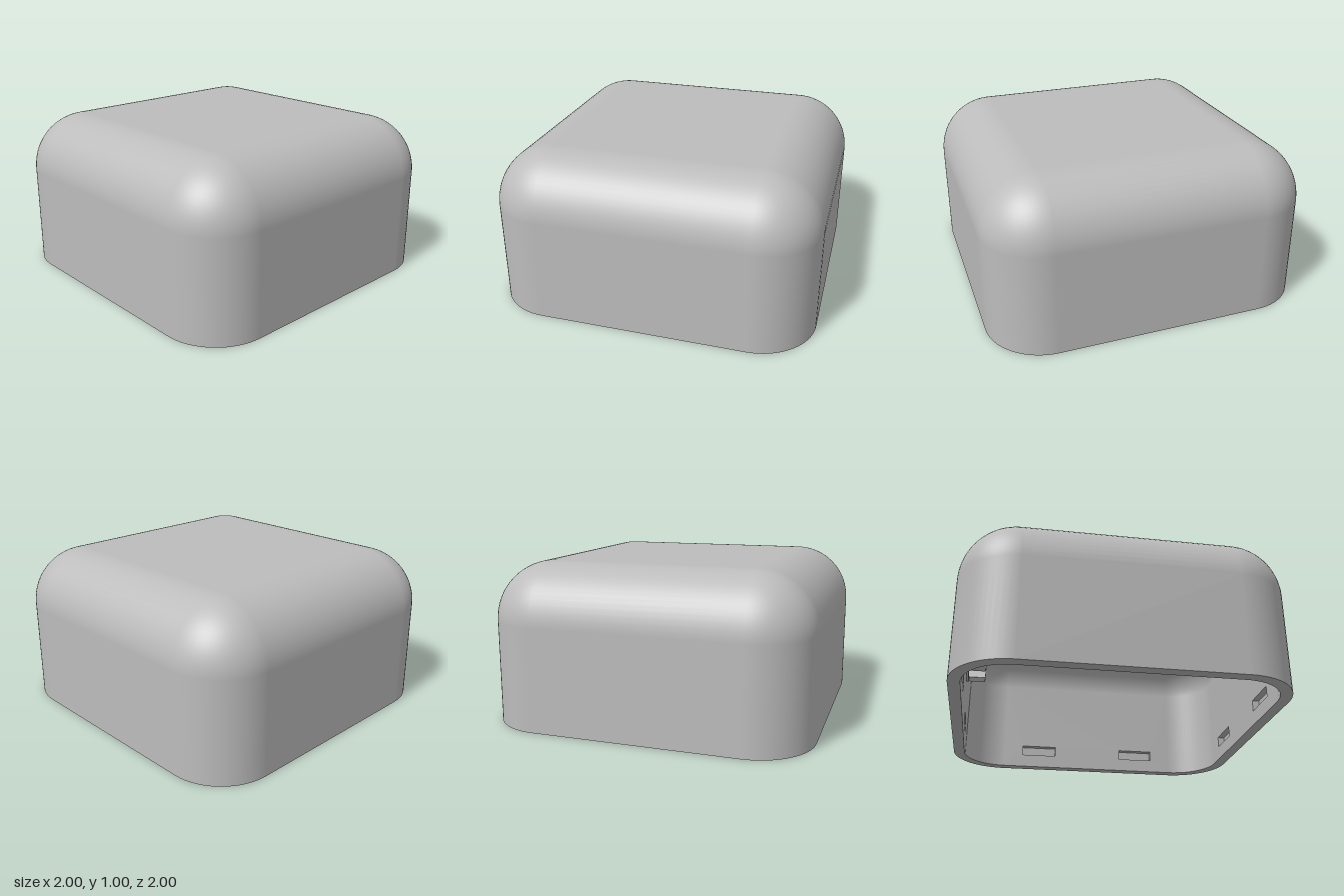
import * as THREE from 'three';

const CORE = 0.64;      // half size of the flat middle; fillets start here
const R_OUT = 0.36;     // outer fillet radius
const WALL = 0.073;     // shell thickness
const R_IN = R_OUT - WALL;
const STEPS = 16;       // segments per quarter round

const grey = new THREE.MeshStandardMaterial({ color: 0xbcbcbc });
grey.name = 'greyPlastic';

function add(parent, name, geometry) {
  const mesh = new THREE.Mesh(geometry, grey);
  mesh.name = name;
  parent.add(mesh);
  return mesh;
}

// Rounded-square walls rising into a quarter-round top edge.
// inside: faces point inwards and the straight walls are left open for panels.
function domeGeometry(r, inside) {
  const pos = [], nor = [], idx = [];
  const s = inside ? -1 : 1;
  const cols = 4 * (STEPS + 1);
  for (let row = -1; row <= STEPS; row++) {
    const t = Math.max(row, 0) / STEPS * Math.PI / 2;
    const y = row < 0 ? 0 : CORE + r * Math.sin(t);
    for (let c = 0; c < 4; c++) {
      const mid = (c + 0.5) * Math.PI / 2;
      const cx = CORE * Math.sign(Math.cos(mid)), cz = CORE * Math.sign(Math.sin(mid));
      for (let i = 0; i <= STEPS; i++) {
        const a = (c + i / STEPS) * Math.PI / 2;
        const nx = Math.cos(t) * Math.cos(a), nz = Math.cos(t) * Math.sin(a);
        pos.push(cx + r * nx, y, cz + r * nz);
        nor.push(s * nx, s * Math.sin(t), s * nz);
      }
    }
  }
  for (let row = 0; row <= STEPS; row++) {
    for (let i = 0; i < cols; i++) {
      if (inside && row === 0 && i % (STEPS + 1) === STEPS) continue;
      const j = (i + 1) % cols;
      const a = row * cols + i, b = row * cols + j, c = a + cols, d = b + cols;
      if (inside) idx.push(a, b, c, b, d, c);
      else idx.push(a, c, b, b, c, d);
    }
  }
  const g = new THREE.BufferGeometry();
  g.setAttribute('position', new THREE.Float32BufferAttribute(pos, 3));
  g.setAttribute('normal', new THREE.Float32BufferAttribute(nor, 3));
  g.setIndex(idx);
  return g;
}

// Rounded-square outline on the floor plane
function outline(r, PathType) {
  const p = new PathType();
  for (let c = 0; c < 4; c++) {
    const mid = (c + 0.5) * Math.PI / 2;
    p.absarc(CORE * Math.sign(Math.cos(mid)), CORE * Math.sign(Math.sin(mid)),
      r, c * Math.PI / 2, (c + 1) * Math.PI / 2, false);
  }
  p.closePath();
  return p;
}

function rectangle(PathType, x0, y0, x1, y1) {
  const p = new PathType();
  p.moveTo(x0, y0).lineTo(x1, y0).lineTo(x1, y1).lineTo(x0, y1).closePath();
  return p;
}

// Arc-shaped wall segment, extruded along z
function arcGeometry(rOut, rIn, from, to, depth) {
  const s = new THREE.Shape();
  s.absarc(0, 0, rOut, from, to, false);
  s.absarc(0, 0, rIn, to, from, true);
  s.closePath();
  return new THREE.ExtrudeGeometry(s, { depth, bevelEnabled: false, curveSegments: 16 });
}

export function createModel() {
  const model = new THREE.Group();
  model.name = 'hollowCover';
  const inner = CORE + R_IN;

  // Outer and inner skins
  add(model, 'outerShell', domeGeometry(R_OUT, false));
  add(model, 'innerShell', domeGeometry(R_IN, true));
  const flat = () => new THREE.PlaneGeometry(2 * CORE, 2 * CORE);
  add(model, 'top', flat().rotateX(-Math.PI / 2).translate(0, CORE + R_OUT, 0));
  add(model, 'ceiling', flat().rotateX(Math.PI / 2).translate(0, inner, 0));

  // Bottom rim
  const rim = outline(R_OUT, THREE.Shape);
  rim.holes.push(outline(R_IN, THREE.Path));
  add(model, 'rim', new THREE.ShapeGeometry(rim, STEPS).rotateX(Math.PI / 2));

  // Inner walls, each with two shallow latch recesses
  const recess = 0.045;
  const panel = rectangle(THREE.Shape, -CORE, 0, CORE, CORE);
  for (const x of [-0.5, 0.25]) {
    panel.holes.push(rectangle(THREE.Path, x, 0.09, x + 0.25, 0.16));
  }
  const panelGeometry = new THREE.ExtrudeGeometry(panel, { depth: recess, bevelEnabled: false });
  const floorGeometry = new THREE.PlaneGeometry(1.1, 0.15).rotateY(Math.PI);
  for (let k = 0; k < 4; k++) {
    const wall = new THREE.Group();
    wall.name = 'innerWall';
    wall.rotation.y = k * Math.PI / 2;
    add(wall, 'wallPanel', panelGeometry).position.z = inner;
    add(wall, 'recessFloor', floorGeometry).position.set(0, 0.125, inner + recess - 0.001);
    model.add(wall);
  }

  // Round holder on one inner wall: low collar with three prongs
  const holder = new THREE.Group();
  holder.name = 'roundHolder';
  holder.position.set(-inner, 0.464, 0);
  holder.rotation.y = Math.PI / 2;
  const collar = new THREE.Shape().absarc(0, 0, 0.17, 0, Math.PI * 2, false);
  collar.holes.push(new THREE.Path().absarc(0, 0, 0.14, 0, Math.PI * 2, true));
  add(holder, 'collar', new THREE.ExtrudeGeometry(collar,
    { depth: 0.015, bevelEnabled: false, curveSegments: 24 }));
  for (let k = 0; k < 3; k++) {
    const mid = Math.PI / 2 + k * Math.PI * 2 / 3;
    add(holder, 'prong', arcGeometry(0.17, 0.14, mid - 0.5, mid + 0.5, 0.12));
  }
  model.add(holder);

  return model;
}
